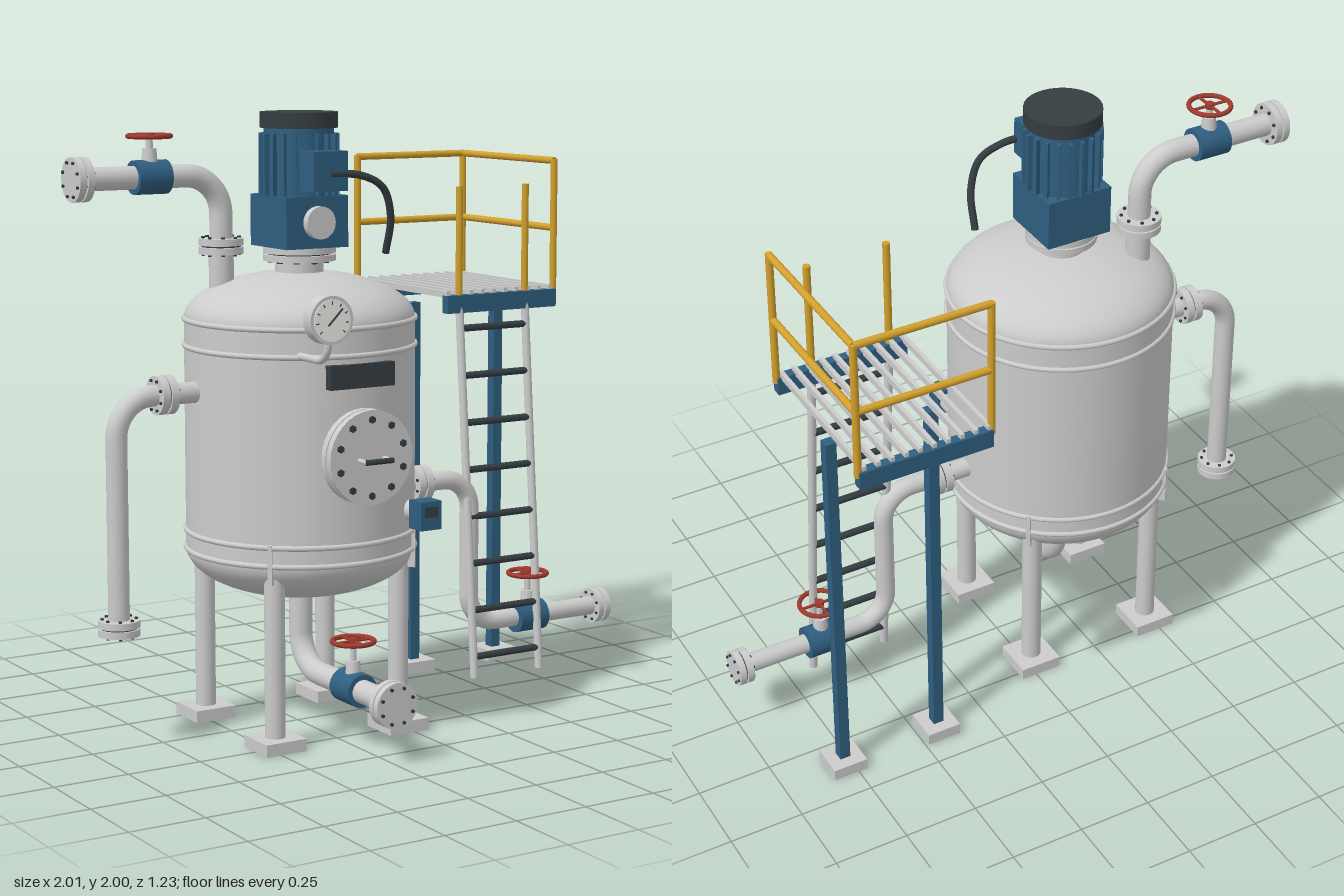
import * as THREE from 'three';

const mat = (color) => new THREE.MeshStandardMaterial({ color });
const grey = mat(0xcccccc), blue = mat(0x2f5f80), dark = mat(0x353d42);
const yellow = mat(0xd2a02c), red = mat(0xa03a2e), white = mat(0xf2f2ee);
const V = (x, y, z) => new THREE.Vector3(x, y, z);
const UP = V(0, 1, 0);

export function createModel() {
  const root = new THREE.Group();
  const CX = -0.25, CZ = 0.022; // vessel axis

  const add = (name, geo, material, pos = V(0, 0, 0), parent = root) => {
    const m = new THREE.Mesh(geo, material);
    m.name = name;
    m.position.copy(pos);
    parent.add(m);
    return m;
  };
  const group = (name, pos, dir = UP) => {
    const g = new THREE.Group();
    g.name = name;
    g.position.copy(pos);
    g.quaternion.setFromUnitVectors(UP, dir.clone().normalize());
    root.add(g);
    return g;
  };
  const box = (name, w, h, d, material, pos, parent) =>
    add(name, new THREE.BoxGeometry(w, h, d), material, pos, parent);
  const rod = (name, a, b, r, material, seg = 16, parent = root) => {
    const d = b.clone().sub(a);
    const m = add(name, new THREE.CylinderGeometry(r, r, d.length(), seg), material, a.clone().add(b).multiplyScalar(0.5), parent);
    m.quaternion.setFromUnitVectors(UP, d.normalize());
    return m;
  };

  // Pipe through corner points with rounded elbows
  const pipe = (name, pts, r, bend, material = grey) => {
    const path = new THREE.CurvePath();
    let from = pts[0];
    for (let i = 1; i < pts.length; i++) {
      const p = pts[i], next = pts[i + 1];
      if (!next) { path.add(new THREE.LineCurve3(from, p)); break; }
      const din = p.clone().sub(pts[i - 1]).normalize(), dout = next.clone().sub(p).normalize();
      const a = p.clone().addScaledVector(din, -bend), b = p.clone().addScaledVector(dout, bend);
      path.add(new THREE.LineCurve3(from, a));
      path.add(new THREE.CubicBezierCurve3(a, a.clone().addScaledVector(din, bend * 0.552),
        b.clone().addScaledVector(dout, -bend * 0.552), b));
      from = b;
    }
    return add(name, new THREE.TubeGeometry(path, 72, r, 18, false), material);
  };

  // Bolted pair of discs centred on pos
  const flange = (name, pos, dir, r = 0.066, len = 0.055, bolts = 8) => {
    const g = group(name, pos, dir);
    const t = len * 0.45;
    for (const s of [-1, 1])
      add('flangeDisc', new THREE.CylinderGeometry(r, r, t, 32), grey, V(0, s * (len - t) / 2, 0), g);
    add('gasket', new THREE.CylinderGeometry(r * 0.88, r * 0.88, len * 0.2, 32), dark, V(0, 0, 0), g);
    for (let i = 0; i < bolts; i++) {
      const a = ((i + 0.5) / bolts) * Math.PI * 2, br = r * 0.8;
      add('bolt', new THREE.CylinderGeometry(r * 0.08, r * 0.08, len + 0.012, 6), dark, V(br * Math.cos(a), 0, br * Math.sin(a)), g);
    }
  };

  // Valve body along dir, handwheel above
  const valve = (name, pos, dir, height) => {
    const half = dir.clone().multiplyScalar(0.057);
    rod(name + 'Body', pos.clone().sub(half), pos.clone().add(half), 0.054, blue, 28);
    const g = group(name + 'Handwheel', pos);
    add('bonnet', new THREE.CylinderGeometry(0.022, 0.026, 0.05, 16), grey, V(0, 0.065, 0), g);
    add('stem', new THREE.CylinderGeometry(0.011, 0.011, height, 12), grey, V(0, height / 2, 0), g);
    const rim = add('rim', new THREE.TorusGeometry(0.067, 0.008, 10, 32), red, V(0, height, 0), g);
    rim.rotation.x = Math.PI / 2;
    add('hub', new THREE.CylinderGeometry(0.015, 0.015, 0.018, 12), red, V(0, height, 0), g);
    for (let i = 0; i < 4; i++) {
      const a = i * Math.PI / 2;
      rod('spoke', V(0, height, 0), V(0.067 * Math.cos(a), height, 0.067 * Math.sin(a)), 0.005, red, 8, g);
    }
  };

  // Vessel: dished heads and straight shell
  const profile = [], R = 0.372;
  for (let i = 0; i <= 16; i++) {
    const a = (i / 16) * Math.PI / 2;
    profile.push(new THREE.Vector2(R * Math.sin(a), 0.60 - 0.16 * Math.cos(a)));
  }
  for (let i = 0; i <= 16; i++) {
    const a = (i / 16) * Math.PI / 2;
    profile.push(new THREE.Vector2(Math.max(R * Math.cos(a), 0), 1.345 + 0.15 * Math.sin(a)));
  }
  add('vessel', new THREE.LatheGeometry(profile, 64), grey, V(CX, 0, CZ));
  for (const y of [0.60, 0.66, 1.26, 1.345])
    add('weldBand', new THREE.TorusGeometry(R, 0.009, 10, 64), grey, V(CX, y, CZ)).rotation.x = Math.PI / 2;

  // Four legs with feet and gussets
  for (const sx of [-1, 1]) for (const sz of [-1, 1]) {
    const x = CX + sx * 0.231, z = CZ + sz * 0.231;
    rod('leg', V(x, 0.03, z), V(x, 0.62, z), 0.033, grey, 24);
    box('foot', 0.145, 0.04, 0.145, grey, V(x, 0.02, z));
    const gusset = box('legGusset', 0.05, 0.13, 0.014, grey, V(CX + sx * 0.253, 0.605, CZ + sz * 0.253));
    gusset.rotation.y = -Math.atan2(sz, sx);
  }

  // Agitator drive on the top head
  add('driveNeck', new THREE.CylinderGeometry(0.078, 0.078, 0.1, 32), grey, V(CX, 1.5, CZ));
  flange('driveFlange', V(CX, 1.55, CZ), UP, 0.117, 0.045, 10);
  box('gearbox', 0.228, 0.165, 0.228, blue, V(CX, 1.655, CZ));
  rod('gearboxCover', V(CX, 1.655, CZ + 0.1), V(CX, 1.655, CZ + 0.14), 0.052, grey, 28);
  add('motorBody', new THREE.CylinderGeometry(0.112, 0.112, 0.23, 32), blue, V(CX, 1.84, CZ));
  for (let i = 0; i < 20; i++) {
    const a = (i / 20) * Math.PI * 2;
    const fin = box('motorFin', 0.03, 0.195, 0.011, blue, V(CX + 0.114 * Math.cos(a), 1.835, CZ + 0.114 * Math.sin(a)));
    fin.rotation.y = -a;
  }
  add('fanCover', new THREE.CylinderGeometry(0.125, 0.125, 0.05, 32), dark, V(CX, 1.975, CZ));
  box('terminalBox', 0.125, 0.125, 0.085, blue, V(CX, 1.82, CZ + 0.155));
  const cable = new THREE.CatmullRomCurve3([V(CX, 1.81, 0.21), V(-0.14, 1.805, 0.215), V(-0.06, 1.765, 0.22),
    V(-0.02, 1.67, 0.205), V(-0.01, 1.55, 0.16)]);
  add('motorCable', new THREE.TubeGeometry(cable, 40, 0.012, 12), dark);

  // Top inlet line with valve
  const X = V(1, 0, 0), Z = V(0, 0, 1);
  rod('topNozzle', V(-0.475, 1.41, -0.088), V(-0.475, 1.57, -0.088), 0.04, grey, 24);
  flange('topNozzleFlange', V(-0.475, 1.575, -0.088), UP, 0.072, 0.05);
  pipe('topPipe', [V(-0.475, 1.57, -0.088), V(-0.475, 1.802, -0.088), V(-0.97, 1.802, -0.088)], 0.037, 0.125);
  flange('topEndFlange', V(-0.973, 1.802, -0.088), X, 0.07, 0.05);
  valve('topValve', V(-0.727, 1.802, -0.088), X, 0.128);

  // Side overflow line
  pipe('overflowPipe', [V(-0.58, 1.125, 0), V(-0.9, 1.125, 0), V(-0.9, 0.4, 0)], 0.034, 0.125);
  flange('overflowFlange', V(-0.735, 1.125, 0), X, 0.062, 0.058);
  flange('overflowEndFlange', V(-0.9, 0.398, 0), UP, 0.067, 0.05);

  // Side outlet line with valve
  pipe('outletPipe', [V(0.08, 0.75, 0), V(0.43, 0.75, 0), V(0.43, 0.238, 0), V(0.97, 0.238, 0)], 0.032, 0.105);
  flange('outletFlange', V(0.222, 0.75, 0), X, 0.06, 0.058);
  flange('outletEndFlange', V(0.973, 0.238, 0), X, 0.06, 0.05);
  valve('outletValve', V(0.677, 0.238, 0), X, 0.15);

  // Bottom drain with valve
  pipe('drainPipe', [V(CX, 0.47, CZ), V(CX, 0.19, CZ), V(CX, 0.19, 0.58)], 0.038, 0.12);
  flange('drainEndFlange', V(CX, 0.19, 0.586), Z, 0.074, 0.05);
  valve('drainValve', V(CX, 0.19, 0.35), Z, 0.152);

  // Manway with handle
  rod('manwayNeck', V(CX, 0.948, 0.33), V(CX, 0.948, 0.43), 0.125, grey, 40);
  flange('manwayCover', V(CX, 0.948, 0.433), Z, 0.15, 0.055, 10);
  rod('manwayHandle', V(CX - 0.05, 0.943, 0.505), V(CX + 0.05, 0.943, 0.505), 0.009, dark, 12);
  for (const s of [-1, 1])
    rod('handlePost', V(CX + s * 0.045, 0.943, 0.45), V(CX + s * 0.045, 0.943, 0.505), 0.008, grey, 10);

  // Blank nameplate
  box('nameplate', 0.235, 0.075, 0.03, dark, V(CX, 1.198, 0.395));

  // Pressure gauge
  const gx = -0.435;
  pipe('gaugePipe', [V(gx, 1.265, 0.31), V(gx, 1.265, 0.508), V(gx, 1.37, 0.508)], 0.012, 0.06);
  rod('gaugeCase', V(gx, 1.395, 0.485), V(gx, 1.395, 0.53), 0.075, grey, 36);
  rod('gaugeFace', V(gx, 1.395, 0.52), V(gx, 1.395, 0.533), 0.064, white, 36);
  rod('gaugeNeedle', V(gx - 0.015, 1.38, 0.535), V(gx + 0.035, 1.43, 0.535), 0.003, dark, 6);
  for (let i = 0; i < 9; i++) {
    const a = -0.7 + i * 0.57;
    rod('gaugeTick', V(gx + 0.048 * Math.cos(a), 1.395 + 0.048 * Math.sin(a), 0.533),
      V(gx + 0.058 * Math.cos(a), 1.395 + 0.058 * Math.sin(a), 0.533), 0.002, dark, 6);
  }

  // Level transmitter
  rod('transmitterStub', V(-0.02, 0.738, 0.25), V(-0.02, 0.738, 0.4), 0.032, grey, 20);
  box('transmitter', 0.078, 0.092, 0.068, blue, V(-0.02, 0.738, 0.413));
  box('transmitterDisplay', 0.052, 0.035, 0.006, dark, V(-0.02, 0.75, 0.447));

  // Platform: beams, grating bars, posts
  const zf = -0.04, zb = -0.597;
  for (const z of [zf, zb]) box('platformBeam', 0.447, 0.06, 0.034, blue, V(0.578, 1.34, z));
  for (let i = 0; i < 10; i++)
    box('gratingBar', 0.014, 0.022, 0.575, grey, V(0.362 + i * 0.0467, 1.374, (zf + zb) / 2));
  for (const x of [0.43, 0.778]) {
    box('platformPost', 0.036, 1.29, 0.036, blue, V(x, 0.67, -0.353));
    box('platformFoot', 0.118, 0.04, 0.118, grey, V(x, 0.02, -0.353));
  }

  // Guard rails on the back and left side
  const xr = 0.8, xl = 0.352, rr = 0.012;
  for (const [x, z] of [[xl, zb], [xr, zb], [xr, zf]])
    rod('railPost', V(x, 1.35, z), V(x, 1.815, z), rr, yellow);
  for (const y of [1.58, 1.81]) {
    rod('backRail', V(xl, y, zb), V(xr, y, zb), rr, yellow);
    rod('sideRail', V(xr, y, zb), V(xr, y, zf), rr, yellow);
  }

  // Ladder leaning on the platform, with hand posts
  const ladderZ = (y) => 0.068 - (y - 0.065) * 0.083;
  for (const x of [0.41, 0.68]) {
    rod('ladderStile', V(x, 0.065, ladderZ(0.065)), V(x, 1.33, ladderZ(1.33)), 0.014, grey);
    rod('handPost', V(x, 1.33, zf), V(x, 1.735, zf), rr, yellow);
  }
  for (let i = 0; i < 8; i++) {
    const y = 0.137 + i * 0.16;
    rod('ladderRung', V(0.41, y, ladderZ(y)), V(0.68, y, ladderZ(y)), 0.012, dark, 12);
  }

  return root;
}
